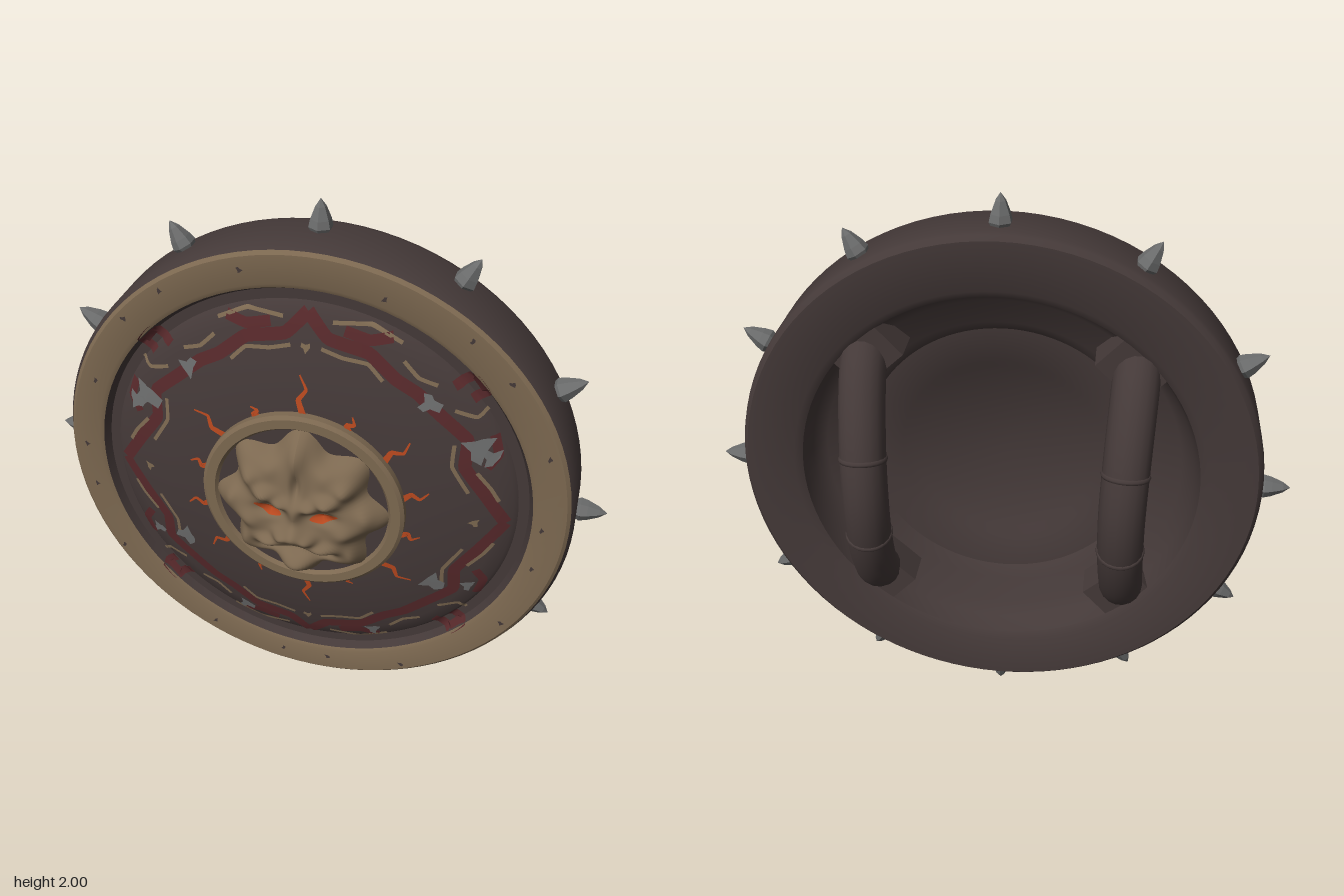
import * as THREE from 'three';
import { toCreasedNormals } from 'three/addons/utils/BufferGeometryUtils.js';

const material = (name, color) => {
  const m = new THREE.MeshStandardMaterial({ color });
  m.name = name;
  return m;
};
const V2 = (p) => new THREE.Vector2(p[0], p[1]);

// Front dome profile: radius, depth
const DOME = [[0.765, 0.113], [0.75, 0.085], [0.715, 0.085], [0.70, 0.1], [0.65, 0.118], [0.5, 0.155], [0.36, 0.175], [0, 0.18]];

function domeZ(x, y) {
  const r = Math.hypot(x, y);
  for (let i = 1; i < DOME.length; i++) {
    const [r0, z0] = DOME[i - 1], [r1, z1] = DOME[i];
    if (r >= r1) return z1 + (z0 - z1) * Math.min(1, (r - r1) / (r0 - r1));
  }
  return 0.18;
}

// Sculpted mask bumps: x, y, spread x, spread y, height (mirrored in x)
const BUMPS = [
  [0, -0.06, 0.045, 0.035, 0.055], [0.05, -0.075, 0.028, 0.024, 0.035], [0, 0.03, 0.028, 0.06, 0.03],
  [0.05, 0.055, 0.03, 0.022, 0.03], [0.11, 0.085, 0.04, 0.024, 0.042], [0.17, 0.13, 0.035, 0.03, 0.035],
  [0.095, 0.012, 0.045, 0.022, -0.03], [0.17, -0.055, 0.045, 0.04, 0.03], [0.09, -0.115, 0.055, 0.022, 0.035],
  [0, -0.15, 0.1, 0.017, -0.035], [0.1, -0.165, 0.04, 0.017, -0.025], [0, -0.215, 0.11, 0.035, 0.045],
  [0.2, -0.15, 0.028, 0.05, 0.035], [0, 0.25, 0.026, 0.06, 0.035], [0.09, 0.2, 0.03, 0.045, 0.028],
  [0, 0.12, 0.015, 0.05, -0.025], [0.24, 0.04, 0.025, 0.05, 0.025],
];
const maskRadius = (a) => 0.277 + 0.03 * Math.cos(8 * a);

function maskZ(x, y) {
  const t = Math.min(1, Math.hypot(x, y) / maskRadius(Math.atan2(x, y)));
  let bump = 0;
  for (const [bx, by, sx, sy, h] of BUMPS)
    for (const s of bx ? [1, -1] : [1])
      bump += h * Math.exp(-(((x - s * bx) / sx) ** 2) - ((y - by) / sy) ** 2);
  return 0.195 + (0.085 + bump) * (1 - t ** 5);
}

// Polar height field for the mask
function maskGeometry() {
  const rings = 44, sides = 112, pos = [], index = [];
  for (let i = 0; i <= rings; i++)
    for (let j = 0; j <= sides; j++) {
      const a = (j / sides) * Math.PI * 2, r = maskRadius(a) * (i / rings);
      const x = r * Math.sin(a), y = r * Math.cos(a);
      pos.push(x, y, maskZ(x, y));
      if (i < rings && j < sides) {
        const p = i * (sides + 1) + j, q = p + sides + 1;
        index.push(p, q + 1, q, p, p + 1, q + 1);
      }
    }
  const g = new THREE.BufferGeometry();
  g.setAttribute('position', new THREE.Float32BufferAttribute(pos, 3));
  g.setIndex(index);
  g.computeVertexNormals();
  return g;
}

// Thin painted strip lying on a surface
function ribbon(points, width, surface = domeZ, taper = () => 1) {
  const curve = new THREE.CatmullRomCurve3(points.map(([x, y]) => new THREE.Vector3(x, y, 0)), false, 'catmullrom', 0.15);
  const n = points.length * 5, pos = [], index = [];
  for (let i = 0; i <= n; i++) {
    const p = curve.getPoint(i / n), t = curve.getTangent(i / n), w = (width / 2) * taper(i / n);
    for (const s of [1, 0, -1]) {
      const x = p.x - t.y * w * s, y = p.y + t.x * w * s;
      pos.push(x, y, surface(x, y) + 0.005);
    }
    if (i < n) for (const k of [0, 1]) {
      const a = i * 3 + k;
      index.push(a, a + 1, a + 4, a, a + 4, a + 3);
    }
  }
  const g = new THREE.BufferGeometry();
  g.setAttribute('position', new THREE.Float32BufferAttribute(pos, 3));
  g.setIndex(index);
  g.computeVertexNormals();
  return g;
}

// Irregular worn patch lying on a surface
function patch(cx, cy, size, sides, surface = domeZ) {
  const pts = [];
  for (let i = 0; i < sides; i++) {
    const a = (i / sides) * Math.PI * 2, r = size * (0.75 + 0.35 * Math.sin(i * 2.3 + cx * 20));
    pts.push(new THREE.Vector2(cx + r * Math.cos(a), cy + r * Math.sin(a)));
  }
  const g = new THREE.ShapeGeometry(new THREE.Shape(pts)), p = g.attributes.position;
  for (let i = 0; i < p.count; i++) p.setZ(i, surface(p.getX(i), p.getY(i)) + 0.008);
  g.computeVertexNormals();
  return g;
}

export function createModel() {
  const dark = material('dark leather', 0x443938);
  const gold = material('aged bronze', 0x7c6850);
  const red = material('dark red paint', 0x56282a);
  const steel = material('worn steel', 0x6b6c6c);
  const ember = material('ember orange', 0xb8481e);

  const model = new THREE.Group();
  model.name = 'shield';
  const body = new THREE.Group();
  body.name = 'shieldBody';
  body.position.y = 1;
  model.add(body);
  const add = (name, geometry, mat, parent = body) => {
    const m = new THREE.Mesh(geometry, mat);
    m.name = name;
    parent.add(m);
    return m;
  };
  const disc = (profile) =>
    toCreasedNormals(new THREE.LatheGeometry(profile.map(V2), 96).rotateX(Math.PI / 2), 0.6);

  // Hollow back, outer wall, front rim and dome
  add('backShell', disc([[0, 0.1], [0.34, 0.1], [0.37, 0.08], [0.5, 0.065], [0.54, 0.03], [0.63, 0.005], [0.67, -0.04],
    [0.69, -0.105], [0.715, -0.122], [0.88, -0.125], [0.895, -0.11], [0.9, -0.09], [0.9, 0.085], [0.887, 0.108]]), dark);
  add('frontRim', disc([[0.887, 0.108], [0.875, 0.118], [0.78, 0.12], [0.765, 0.113]]), gold);
  add('frontDome', disc(DOME), dark);

  // Rim pits
  for (let i = 0; i < 18; i++) {
    const a = i * 2.4, r = 0.8 + 0.05 * Math.abs(Math.sin(i * 1.7));
    add('rimPit', patch(r * Math.cos(a), r * Math.sin(a), 0.012, 7, () => 0.115), dark);
  }

  // Spikes around the edge
  const spike = new THREE.LatheGeometry([[0.024, 0.88], [0.04, 0.91], [0.034, 0.935], [0.018, 0.975], [0, 1]].map(V2), 6).toNonIndexed();
  spike.computeVertexNormals();
  for (let i = 0; i < 12; i++) {
    const s = add('edgeSpike', spike, steel);
    s.rotation.z = (i * Math.PI) / 6;
    s.position.z = -0.03;
  }

  // Painted star border, repeated in four quarters
  const redPaths = [
    [0.042, [[0, 0.69], [0.07, 0.615], [0.2, 0.585], [0.29, 0.51], [0.36, 0.47], [0.44, 0.4], [0.53, 0.32], [0.53, 0.22], [0.6, 0.12], [0.68, 0]]],
    [0.035, [[0.12, 0.645], [0.2, 0.625], [0.27, 0.64]]],
    [0.035, [[0.47, 0.5], [0.53, 0.54], [0.57, 0.49], [0.53, 0.46]]],
    [0.03, [[0.61, 0.34], [0.63, 0.27], [0.6, 0.22]]],
  ];
  const goldPaths = [
    [[0.08, 0.665], [0.2, 0.672], [0.3, 0.625]], [[0.05, 0.58], [0.12, 0.56], [0.2, 0.55], [0.25, 0.5]],
    [[0.31, 0.57], [0.36, 0.52], [0.42, 0.5]], [[0.58, 0.43], [0.55, 0.4], [0.48, 0.42]],
    [[0.57, 0.2], [0.62, 0.14], [0.65, 0.09]], [[0.49, 0.3], [0.49, 0.22], [0.55, 0.12]],
  ];
  for (const sx of [1, -1]) for (const sy of [1, -1]) {
    const flip = (pts) => pts.map(([x, y]) => [x * sx, y * sy]);
    for (const [w, pts] of redPaths) add('redBorder', ribbon(flip(pts), w), red);
    for (const pts of goldPaths) add('bronzeLine', ribbon(flip(pts), 0.013), gold);
    for (const [x, y, s] of sy > 0 ? [[0.57, 0.29, 0.06], [0.4, 0.44, 0.04], [0.61, 0.26, 0.04]] : [[0.46, 0.29, 0.05], [0.25, 0.61, 0.035], [0.58, 0.3, 0.03]])
      add('steelPatch', patch(x * sx, y * sy, s, 9), steel);
  }
  for (const [x, y] of [[0, 0.58], [0, -0.58], [0.58, 0], [-0.58, 0]]) add('bronzeStud', patch(x, y, 0.02, 8), gold);

  // Glowing cracks around the boss
  for (let i = 0; i < 14; i++) {
    const a = (i + 0.5) * ((Math.PI * 2) / 14), len = 0.08 + 0.05 * Math.sin(i * 2.7);
    const at = (r, d) => [r * Math.cos(a + d), r * Math.sin(a + d)];
    add('emberCrack', ribbon([at(0.35, 0), at(0.35 + len * 0.4, 0.04), at(0.35 + len * 0.7, -0.02), at(0.36 + len, 0.03)],
      0.024, domeZ, (t) => 1 - 0.8 * t), ember);
  }

  // Central boss: dark recess, bronze ring and beast mask
  add('bossRecess', disc([[0.31, 0.17], [0.31, 0.197], [0, 0.197]]), dark);
  add('bossRing', disc([[0.355, 0.165], [0.355, 0.2], [0.343, 0.21], [0.31, 0.21], [0.298, 0.195]]), gold);
  add('beastMask', maskGeometry(), gold);
  for (const s of [1, -1])
    add('maskEye', ribbon([[0.05 * s, 0.002], [0.09 * s, 0.008], [0.145 * s, 0.03]], 0.036, maskZ,
      (t) => 0.1 + 0.9 * Math.sin(Math.PI * t)), ember);

  // Two arched arm grips with mounting blocks on the back
  const gripPath = new THREE.CatmullRomCurve3([[0.45, -0.47, -0.03], [0.445, -0.39, -0.13], [0.435, -0.2, -0.235], [0.43, 0, -0.272],
    [0.435, 0.2, -0.235], [0.445, 0.39, -0.13], [0.45, 0.47, -0.03]].map((p) => new THREE.Vector3(...p)));
  for (const s of [1, -1]) {
    const path = new THREE.CatmullRomCurve3(gripPath.points.map((p) => new THREE.Vector3(p.x * s, p.y, p.z)));
    add('armGrip', new THREE.TubeGeometry(path, 36, 0.078, 18), dark);
    for (const u of [0.36, 0.64]) {
      const band = add('gripBand', new THREE.TorusGeometry(0.072, 0.011, 8, 24), dark);
      band.position.copy(path.getPointAt(u));
      band.quaternion.setFromUnitVectors(new THREE.Vector3(0, 0, 1), path.getTangentAt(u));
    }
    for (const v of [1, -1]) {
      const block = add('gripMount', new THREE.BoxGeometry(0.2, 0.19, 0.17), dark);
      block.position.set(0.45 * s, 0.47 * v, -0.02);
      block.rotation.z = -0.75 * s * v;
    }
  }
  return model;
}
